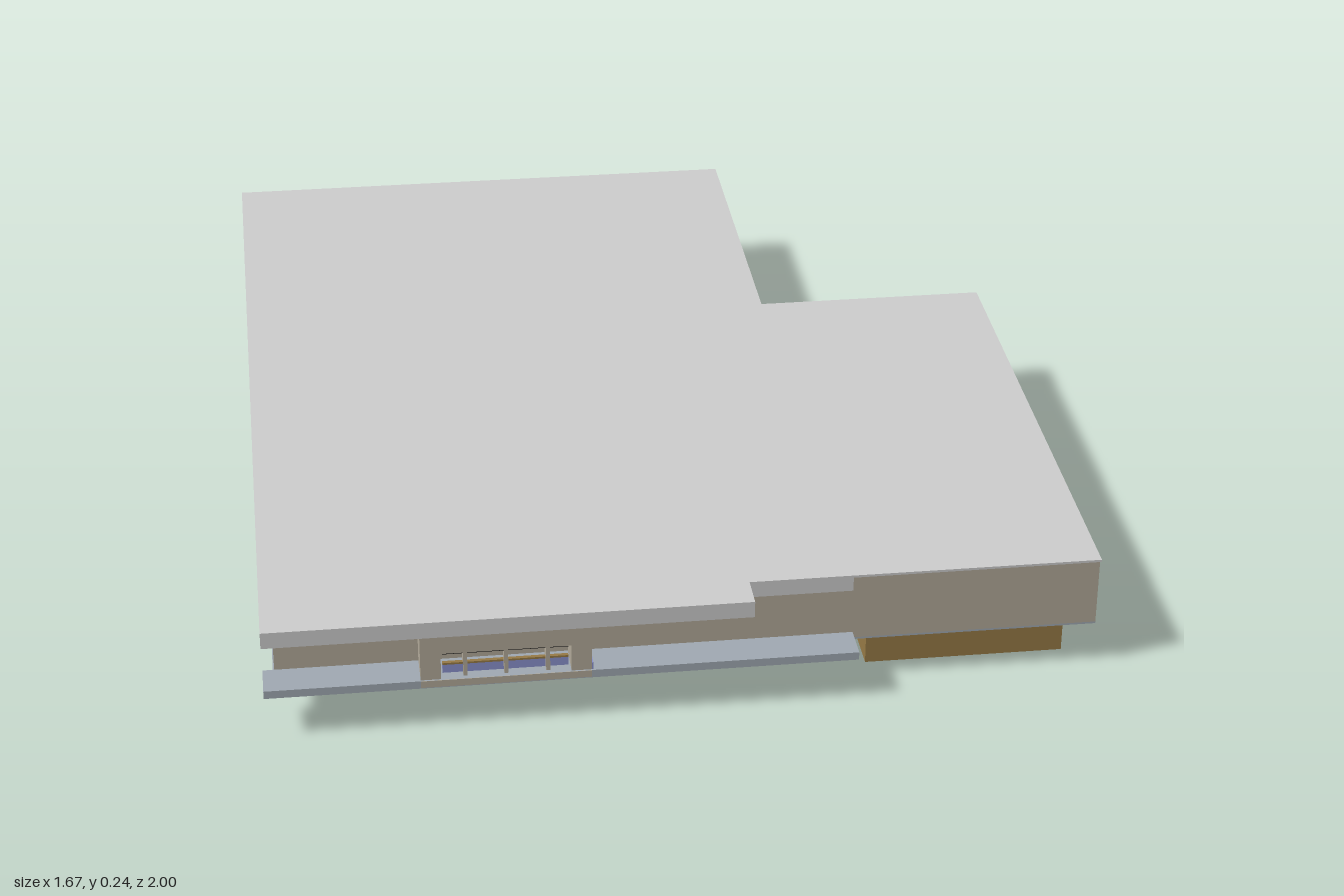
import * as THREE from 'three';

const paint = (name, color) => {
  const m = new THREE.MeshStandardMaterial({ color });
  m.name = name;
  return m;
};

export function createModel() {
  const model = new THREE.Group();
  model.name = 'house';
  const roofGrey = paint('roof grey', 0xcccccc);
  const wallBeige = paint('wall beige', 0xb0a898);
  const slabGrey = paint('slab blue grey', 0x9fa8b1);
  const timber = paint('timber brown', 0x957945);
  const black = paint('black', 0x0a0a0a);
  const blue = paint('glass blue', 0x8890cc);

  // Box given by its limits on each axis
  const box = (name, mat, x0, x1, y0, y1, z0, z1) => {
    const mesh = new THREE.Mesh(new THREE.BoxGeometry(x1 - x0, y1 - y0, z1 - z0), mat);
    mesh.position.set((x0 + x1) / 2, (y0 + y1) / 2, (z0 + z1) / 2);
    mesh.name = name;
    model.add(mesh);
  };
  // Rectangular ring lying flat, with rim width w
  const ring = (name, mat, x0, x1, y0, y1, z0, z1, w) => {
    box(name, mat, x0, x0 + w, y0, y1, z0, z1);
    box(name, mat, x1 - w, x1, y0, y1, z0, z1);
    box(name, mat, x0 + w, x1 - w, y0, y1, z0, z0 + w);
    box(name, mat, x0 + w, x1 - w, y0, y1, z1 - w, z1);
  };

  // Roof: flat plate with a front step, thin over the side wing
  const outline = [[-0.835, -1], [0.333, -1], [0.333, 0.927], [0.125, 0.927], [0.125, 1], [-0.835, 1]];
  const roofShape = new THREE.Shape(outline.map(([x, z]) => new THREE.Vector2(x, -z)));
  const roof = new THREE.Mesh(
    new THREE.ExtrudeGeometry(roofShape, { depth: 0.035, bevelEnabled: false }), roofGrey);
  roof.rotation.x = -Math.PI / 2;
  roof.position.y = 0.205;
  roof.name = 'roof';
  model.add(roof);
  box('wingRoof', roofGrey, 0.333, 0.833, 0.235, 0.24, -0.258, 0.927);

  // Floor slab, with the terrace along the front
  box('floorSlab', slabGrey, -0.815, 0.83, 0.09, 0.094, -0.255, 0.925);
  box('terrace', slabGrey, -0.835, 0.335, 0.09, 0.107, 0.925, 1);

  // Main walls and taller side wing
  box('mainWalls', wallBeige, -0.812, 0.333, 0.094, 0.205, -0.255, 0.925);
  box('wingWalls', wallBeige, 0.333, 0.83, 0.094, 0.235, -0.255, 0.925);

  // Front bay, framed around its window opening
  const bay = { x0: -0.53, x1: -0.195, z0: 0.925, z1: 0.997 };
  const win = { x0: -0.49, x1: -0.235, y0: 0.107, y1: 0.165 };
  box('bayLeftPier', wallBeige, bay.x0, win.x0, 0.107, 0.205, bay.z0, bay.z1);
  box('bayRightPier', wallBeige, win.x1, bay.x1, 0.107, 0.205, bay.z0, bay.z1);
  box('bayLintel', wallBeige, win.x0, win.x1, win.y1, 0.205, bay.z0, bay.z1);
  box('bayFoot', wallBeige, bay.x0, bay.x1, 0.092, 0.107, 1, 1.001);
  box('baySideGlass', blue, bay.x1, bay.x1 + 0.003, 0.107, 0.123, bay.z0, bay.z1);

  // Four window bays: dark head, timber rail and blue lower glass
  const posts = [-0.49, -0.442, -0.362, -0.28, -0.235];
  for (let i = 0; i < 4; i++) {
    const a = posts[i] + 0.004, b = posts[i + 1] - 0.004;
    box('windowHead', black, a, b, 0.156, 0.163, 0.955, 0.985);
    box('windowRail', timber, a, b, 0.127, 0.131, 0.97, 0.978);
    box('windowGlass', blue, a, b, 0.107, 0.127, 0.97, 0.975);
  }
  for (const x of posts.slice(1, 4)) {
    box('windowPost', wallBeige, x - 0.004, x + 0.004, win.y0, win.y1, 0.96, 0.99);
  }

  // Rear room with ribbed underside
  const rx0 = -0.735, rx1 = 0.15;
  box('rearSideWall', wallBeige, rx0, rx0 + 0.02, 0.11, 0.205, -0.998, -0.255);
  box('rearSideWall', wallBeige, rx1 - 0.02, rx1, 0.11, 0.205, -0.998, -0.255);
  box('rearFloor', wallBeige, rx0 + 0.02, rx1 - 0.02, 0.12, 0.2, -0.98, -0.255);
  for (let i = 0; i < 7; i++) {
    const x = rx0 + 0.07 + i * 0.124;
    box('floorRib', blue, x - 0.007, x + 0.007, 0.112, 0.12, -0.88, -0.256);
  }

  // Dark rear glazing and the base below it
  box('rearLintel', wallBeige, rx0 + 0.02, rx1 - 0.02, 0.195, 0.205, -0.995, -0.98);
  box('rearGlazing', black, rx0 + 0.02, rx1 - 0.02, 0.11, 0.195, -0.995, -0.98);
  box('rearBase', black, rx0, rx1, 0.09, 0.11, -1, -0.88);

  // Basement tub, open below with a stepped recess
  ring('basementWall', timber, 0.373, 0.777, 0, 0.09, -0.2, 0.875, 0.055);
  ring('basementStep', timber, 0.428, 0.722, 0.02, 0.09, -0.145, 0.82, 0.04);
  ring('basementInnerStep', timber, 0.468, 0.682, 0.028, 0.09, -0.105, 0.78, 0.03);
  box('basementVoid', black, 0.498, 0.652, 0.035, 0.089, -0.075, 0.75);

  return model;
}
